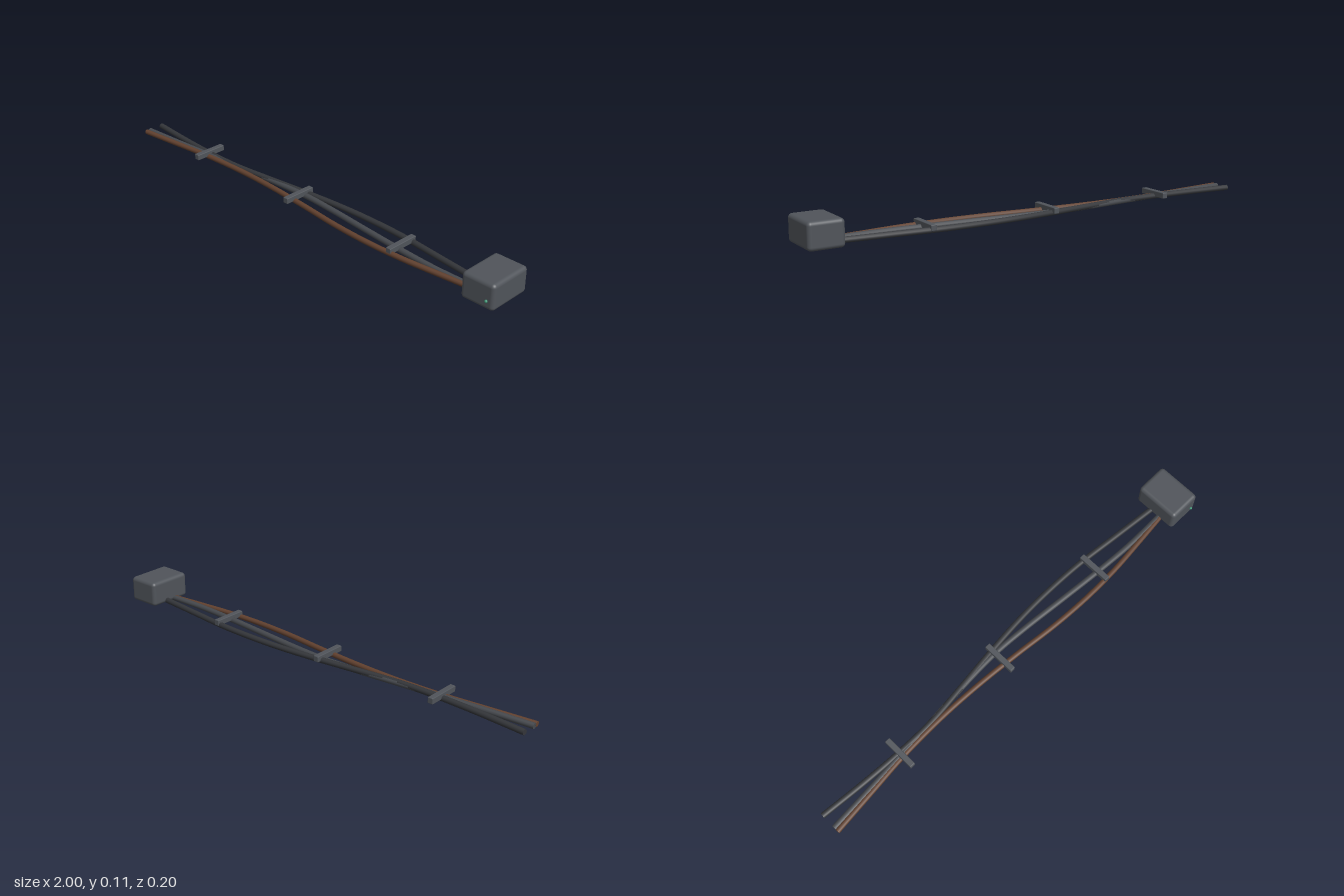
import * as THREE from 'three';
import { RoundedBoxGeometry } from 'three/addons/geometries/RoundedBoxGeometry.js';

export function createModel() {
  const model = new THREE.Group();
  const add = (name, geometry, color, x = 0, y = 0, z = 0) => {
    const mesh = new THREE.Mesh(geometry, new THREE.MeshStandardMaterial({ color }));
    mesh.name = name;
    mesh.position.set(x, y, z);
    model.add(mesh);
    return mesh;
  };

  // Housing at the end of the cables
  add('housing', new RoundedBoxGeometry(0.145, 0.109, 0.196, 4, 0.016), 0x50545a, 0.9275, 0.0585, -0.004);

  // Small indicator lamp on the front of the housing
  add('indicatorLamp', new THREE.SphereGeometry(0.006, 12, 8), 0x3f9575, 0.97, 0.041, 0.096);

  // Cables: [x, z] points along the floor, a resting height and a radius
  const cables = [
    ['blackCable', 0x34363a, 0.015, 0.012,
      [[-1, -0.042], [-0.8, -0.024], [-0.62, -0.014], [-0.45, -0.014], [-0.25, -0.034], [-0.06, -0.056],
        [0.1, -0.07], [0.25, -0.075], [0.45, -0.069], [0.65, -0.048], [0.87, -0.024]]],
    ['greyCable', 0x46494e, 0.013, 0.012,
      [[-1, 0.024], [-0.8, 0.011], [-0.62, -0.003], [-0.45, -0.015], [-0.25, -0.032], [-0.06, -0.039],
        [0.1, -0.029], [0.3, -0.009], [0.5, 0.01], [0.67, 0.021], [0.87, 0.02]]],
    ['brownCable', 0x62412f, 0.013, 0.011,
      [[-1, 0.043], [-0.8, 0.024], [-0.62, 0.007], [-0.4, 0.001], [-0.2, 0.009], [0, 0.027],
        [0.2, 0.049], [0.38, 0.058], [0.55, 0.054], [0.7, 0.041], [0.87, 0.024]]],
  ];
  for (const [name, color, y, radius, points] of cables) {
    const path = new THREE.CatmullRomCurve3(points.map(([x, z]) => new THREE.Vector3(x, y, z)));
    add(name, new THREE.TubeGeometry(path, 64, radius, 10), color);
    // Closed cut ends
    [[0, -1], [1, 1]].forEach(([t, sign]) => {
      const cap = add(name + 'End', new THREE.CircleGeometry(radius, 10), color);
      cap.position.copy(path.getPoint(t));
      cap.lookAt(cap.position.clone().addScaledVector(path.getTangent(t), sign));
    });
  }

  // Tie bars across the cables
  for (const x of [-0.62, -0.065, 0.49]) {
    add('tieBar', new RoundedBoxGeometry(0.024, 0.025, 0.146, 2, 0.003), 0x50545a, x, 0.0255, -0.007);
  }
  return model;
}
